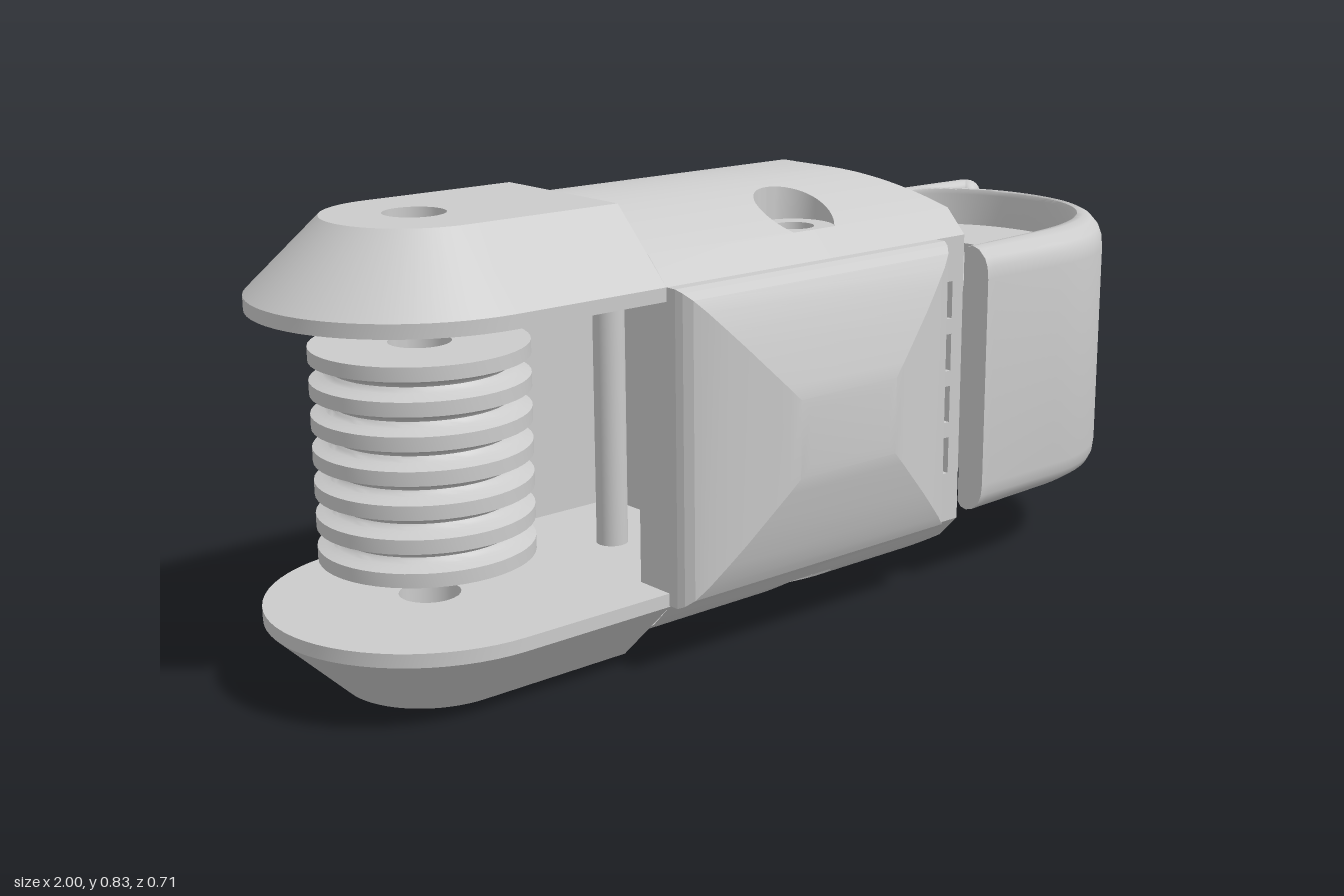
import * as THREE from 'three';
import { toCreasedNormals } from 'three/addons/utils/BufferGeometryUtils.js';
import { RoundedBoxGeometry } from 'three/addons/geometries/RoundedBoxGeometry.js';

const MID_Y = 0.4165, MID_Z = -0.05, TOP = 0.833, FLOOR = 0.752;
const mat = new THREE.MeshStandardMaterial({ color: 0xcccccc, side: THREE.DoubleSide });

function add(parent, name, geo, x = 0, y = 0, z = 0) {
  const mesh = new THREE.Mesh(geo, mat);
  mesh.name = name;
  mesh.position.set(x, y, z);
  parent.add(mesh);
  return mesh;
}

// Skin over rows of [x, y, z] points, all of the same length
function skin(rows, crease = 0.5) {
  const n = rows[0].length, index = [];
  for (let i = 0; i < rows.length - 1; i++) {
    for (let j = 0; j < n - 1; j++) {
      const a = i * n + j, b = a + n;
      index.push(a, b, a + 1, b, b + 1, a + 1);
    }
  }
  const geo = new THREE.BufferGeometry();
  geo.setAttribute('position', new THREE.Float32BufferAttribute(rows.flat(2), 3));
  geo.setIndex(index);
  geo.computeVertexNormals();
  return toCreasedNormals(geo, crease);
}

const rect = (x0, y0, x1, y1, Type = THREE.Path) =>
  new Type([[x0, y0], [x1, y0], [x1, y1], [x0, y1]].map(p => new THREE.Vector2(...p)));

function wall(depth, holes) {
  const shape = rect(-0.4, 0.128, 0.35, 0.705, THREE.Shape);
  shape.holes.push(...holes);
  return new THREE.ExtrudeGeometry(shape, { depth, bevelEnabled: false });
}

// Crowned roof with a sloping end and two screw pockets
function addRoof(parent) {
  const xc = -0.01, r = 0.075, zc = 0.19;
  const height = u => Math.abs(u) <= 0.245
    ? TOP - 0.081 * (u / 0.245) ** 2
    : FLOOR - (Math.abs(u) - 0.245) * 0.047 / 0.045;
  const half = u => Math.abs(u) < 0.245 ? Math.sqrt(Math.max(0, r * r - (Math.abs(u) - zc) ** 2)) : 0;
  const us = [0.2451, 0.29];
  for (let i = 0; i <= 10; i++) us.push(i * 0.0114);
  const pocket = [0.2449];
  for (let i = 0; i <= 24; i++) {
    const u = zc + r * Math.cos(i * Math.PI / 24);
    if (u < 0.2449) pocket.push(u);
  }
  const all = [...us, ...pocket];
  const samples = [...all, ...all.map(u => -u)].sort((a, b) => a - b);
  const left = [], right = [];
  for (const u of samples) {
    const h = height(u), z = MID_Z + u, w = half(u);
    left.push([[-0.4, h, z], [xc - w, h, z]]);
    const xs = Math.min(0.35, 0.15 + 0.2 * Math.sqrt(Math.max(0, TOP - h) / 0.081));
    const row = [[xc + w, h, z]];
    for (let k = 0; k <= 8; k++) {
      const x = xs + (0.35 - xs) * k / 8;
      row.push([x, Math.min(h, TOP - 0.081 * (Math.max(0, x - 0.15) / 0.2) ** 2), z]);
    }
    right.push(row);
  }
  add(parent, 'roofRight', skin(left, 0.3));
  add(parent, 'roofLeft', skin(right, 0.3));
  pocket.sort((a, b) => a - b);
  for (const s of [-1, 1]) {
    for (const side of [-1, 1]) {
      add(parent, 'pocketWall', skin(pocket.map(u => {
        const x = xc + side * half(u), z = MID_Z + s * u;
        return [[x, height(u), z], [x, FLOOR, z]];
      })));
    }
    const ring = new THREE.RingGeometry(0.038, r, 40).rotateX(-Math.PI / 2);
    const p = ring.attributes.position;
    for (let i = 0; i < p.count; i++) if (p.getZ(i) * s > 0.055) p.setZ(i, 0.055 * s);
    add(parent, 'pocketFloor', ring, xc, FLOOR, MID_Z + s * zc);
    add(parent, 'screwHole', new THREE.CylinderGeometry(0.038, 0.038, 0.042, 32, 1, true), xc, 0.731, MID_Z + s * zc);
    add(parent, 'screwHoleEnd', new THREE.CircleGeometry(0.038, 32).rotateX(-Math.PI / 2), xc, 0.71, MID_Z + s * zc);
  }
}

// Round-ended arm plate with a chamfered rim and a pin hole
function addArm(parent) {
  const cx = -0.71, reach = 0.31;
  const ring = (R, y, round) => {
    const pts = [];
    for (let i = 0; i <= 32; i++) {
      const t = Math.PI * (0.5 + i / 32);
      pts.push([cx + R * Math.cos(t), y, MID_Z + R * Math.sin(t)]);
    }
    for (let i = 1; i <= 12; i++) {
      const t = Math.PI * (-0.5 + i / 12);
      const x = round ? R * Math.cos(t) : reach * Math.min(1, i / 4, (12 - i) / 4);
      const z = round ? R * Math.sin(t) : R * Math.min(1, Math.max(-1, (i - 6) / 2));
      pts.push([cx + x, y, MID_Z + z]);
    }
    return pts;
  };
  add(parent, 'armPlate', skin([
    ring(0.055, 0.68, true), ring(0.29, 0.68), ring(0.29, 0.705),
    ring(0.16, TOP), ring(0.055, TOP, true), ring(0.055, 0.68, true)]));
}

// Hood: rounded rim wall swept around a recessed core
function addHood(parent) {
  const v = (x, z) => new THREE.Vector2(x, z);
  const outer = new THREE.CurvePath(), inner = new THREE.CurvePath();
  outer.add(new THREE.LineCurve(v(0.352, 0.303), v(0.58, 0.303)));
  outer.add(new THREE.CubicBezierCurve(v(0.58, 0.303), v(0.79, 0.303), v(0.945, 0.12), v(0.945, -0.1)));
  outer.add(new THREE.LineCurve(v(0.945, -0.1), v(0.94, -0.3)));
  inner.add(new THREE.LineCurve(v(0.352, 0.24), v(0.55, 0.22)));
  inner.add(new THREE.CubicBezierCurve(v(0.55, 0.22), v(0.8, 0.2), v(0.91, 0.08), v(0.91, -0.06)));
  inner.add(new THREE.CubicBezierCurve(v(0.91, -0.06), v(0.91, -0.2), v(0.84, -0.31), v(0.7, -0.32)));
  const upper = [[0, 0.6], [0, 0.672], [0.12, 0.682], [0.35, 0.685], [0.6, 0.68], [0.85, 0.665], [0.96, 0.648], [1, 0.625]];
  const mirrored = upper.map(([f, y]) => [f, 2 * 0.4175 - y]).reverse();
  const profile = [...upper, ...mirrored, upper[0]];
  const rows = [], N = 48;
  const cap = r => r.map(() => [0, 1, 2].map(k => r.reduce((s, p) => s + p[k], 0) / r.length));
  for (let i = 0; i <= N; i++) {
    const a = inner.getPoint(i / N), b = outer.getPoint(i / N);
    rows.push(profile.map(([f, y]) => [a.x + (b.x - a.x) * f, y, a.y + (b.y - a.y) * f]));
  }
  add(parent, 'hoodWall', skin([cap(rows[0]), ...rows, cap(rows[N])], 0.7));

  const core = new THREE.Shape([...inner.getPoints(16), v(0.352, -0.335)]);
  core.holes.push(new THREE.Path().absarc(0.64, MID_Z, 0.055, 0, Math.PI * 2, true));
  const geo = new THREE.ExtrudeGeometry(core, { depth: 0.37, bevelEnabled: false, curveSegments: 24 });
  add(parent, 'hoodCore', toCreasedNormals(geo.rotateX(Math.PI / 2), 0.5), 0, 0.6025, 0);

  add(parent, 'hoodBackPlate', new RoundedBoxGeometry(0.63, 0.535, 0.045, 4, 0.02), 0.667, 0.4175, -0.324).rotation.y = -0.03;
  add(parent, 'hoodLip', new THREE.CapsuleGeometry(0.031, 0.473, 6, 20), 0.967, 0.4175, -0.308);
}

export function createModel() {
  const model = new THREE.Group();
  model.name = 'linkModule';

  // Upper half and the same half turned over for the underside
  for (const name of ['upperHalf', 'lowerHalf']) {
    const pivot = new THREE.Group(), half = new THREE.Group();
    pivot.name = name;
    pivot.position.set(0, MID_Y, MID_Z);
    half.position.set(0, -MID_Y, -MID_Z);
    if (name === 'lowerHalf') pivot.rotation.x = Math.PI;
    addRoof(half);
    addArm(half);
    add(half, 'cavityRoof', new THREE.BoxGeometry(0.3, 0.025, 0.57), -0.25, 0.6925, MID_Z);
    pivot.add(half);
    model.add(pivot);
  }

  // Body walls with vent slots and a sunken back panel
  const body = new THREE.Group();
  body.name = 'body';
  model.add(body);
  const slots = () => [0.265, 0.37, 0.475, 0.58].map(y => rect(0.272, y - 0.037, 0.32, y + 0.037));
  add(body, 'frontWall', wall(0.08, slots()), 0, 0, 0.16);
  add(body, 'backWall', wall(0.06, slots()), 0, 0, -0.32);
  add(body, 'backFrame', wall(0.02, [...slots(), rect(-0.34, 0.2, 0.265, 0.645)]), 0, 0, -0.34);
  add(body, 'core', new THREE.BoxGeometry(0.48, 0.57, 0.42), 0.1, MID_Y, MID_Z);
  const end = [[0.29, 0.705], [0.245, FLOOR], [-0.245, FLOOR], [-0.29, 0.705]];
  const outline = [...end, ...end.map(([u, y]) => [-u, 2 * MID_Y - y])];
  const endShape = new THREE.Shape(outline.map(([u, y]) => new THREE.Vector2(u, y)));
  add(body, 'endWall', new THREE.ExtrudeGeometry(endShape, { depth: 0.03, bevelEnabled: false }).rotateY(-Math.PI / 2), 0.35, 0, MID_Z);
  add(body, 'crossPost', new THREE.CylinderGeometry(0.03, 0.03, 0.53, 24), -0.3, MID_Y, MID_Z);

  // Pillow-shaped front panel from inset rectangles
  const steps = [[0, 0.235], [0, 0.262], [0.006, 0.275], [0.018, 0.289], [0.04, 0.301], [0.075, 0.313],
    [0.11, 0.324], [0.15, 0.334], [0.19, 0.344], [0.215, 0.349], [0.235, 0.351]];
  const rows = steps.map(([d, z]) => {
    const x0 = -0.4 + d, x1 = 0.27 - d, y0 = 0.13 + d, y1 = 0.705 - d;
    return [[x0, y0, z], [x1, y0, z], [x1, y1, z], [x0, y1, z], [x0, y0, z]];
  });
  rows.push(rows[0].map(() => [-0.065, 0.4175, 0.351]));
  add(body, 'frontPanel', skin(rows, 0.25));

  // Grooved spool
  const profile = [[0.055, 0.23], [0.19, 0.23]];
  for (let i = 0; i < 6; i++) {
    const y = 0.255 + i * 0.0592;
    for (let k = 0; k <= 8; k++) {
      profile.push([0.19 - 0.035 * Math.sin(k * Math.PI / 8), y + 0.034 * k / 8]);
    }
  }
  profile.push([0.19, 0.61], [0.055, 0.61], [0.055, 0.23]);
  const spool = new THREE.LatheGeometry(profile.map(p => new THREE.Vector2(...p)), 48);
  add(model, 'spool', toCreasedNormals(spool, 0.6), -0.71, 0, MID_Z);

  addHood(model);
  return model;
}
